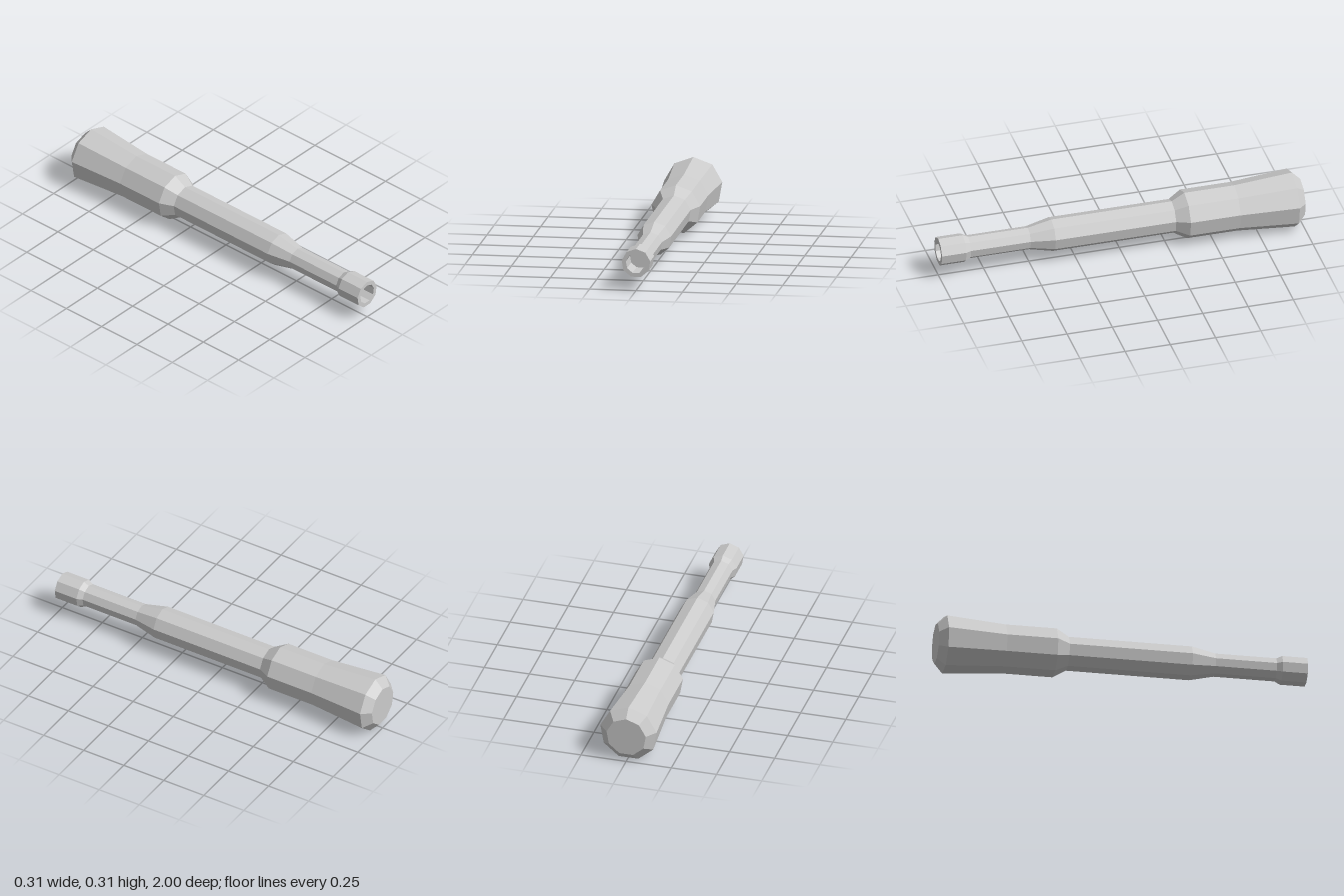
import * as THREE from 'three';

const SIDES = 9;
const AXIS_Y = 0.149;

export function createModel() {
  const group = new THREE.Group();
  group.name = 'nutDriver';
  const material = new THREE.MeshStandardMaterial({ color: 0xcccccc, flatShading: true });

  // Nine-sided turned part along z; profile is [radius, z] from back to front
  function turned(name, profile) {
    const points = profile.map(([r, z]) => new THREE.Vector2(r, z));
    const geometry = new THREE.LatheGeometry(points, SIDES, Math.PI);
    geometry.rotateX(Math.PI / 2); // lathe axis to +z, one corner at the top
    const mesh = new THREE.Mesh(geometry, material);
    mesh.name = name;
    mesh.position.y = AXIS_Y;
    group.add(mesh);
  }

  // Flared grip with bevelled butt and a shoulder down to the shaft
  turned('handle', [[0, -1], [0.11, -1], [0.158, -0.955], [0.133, -0.635], [0.133, -0.36], [0.092, -0.29]]);

  // Thick shaft stepping down to a slim neck
  turned('shaft', [[0.092, -0.29], [0.092, 0.375], [0.063, 0.505], [0.063, 0.835]]);

  // Socket collar with a blind bore open to the front
  turned('socket', [[0.063, 0.835], [0.078, 0.865], [0.078, 1], [0.055, 1], [0.055, 0.86], [0, 0.86]]);

  return group;
}
